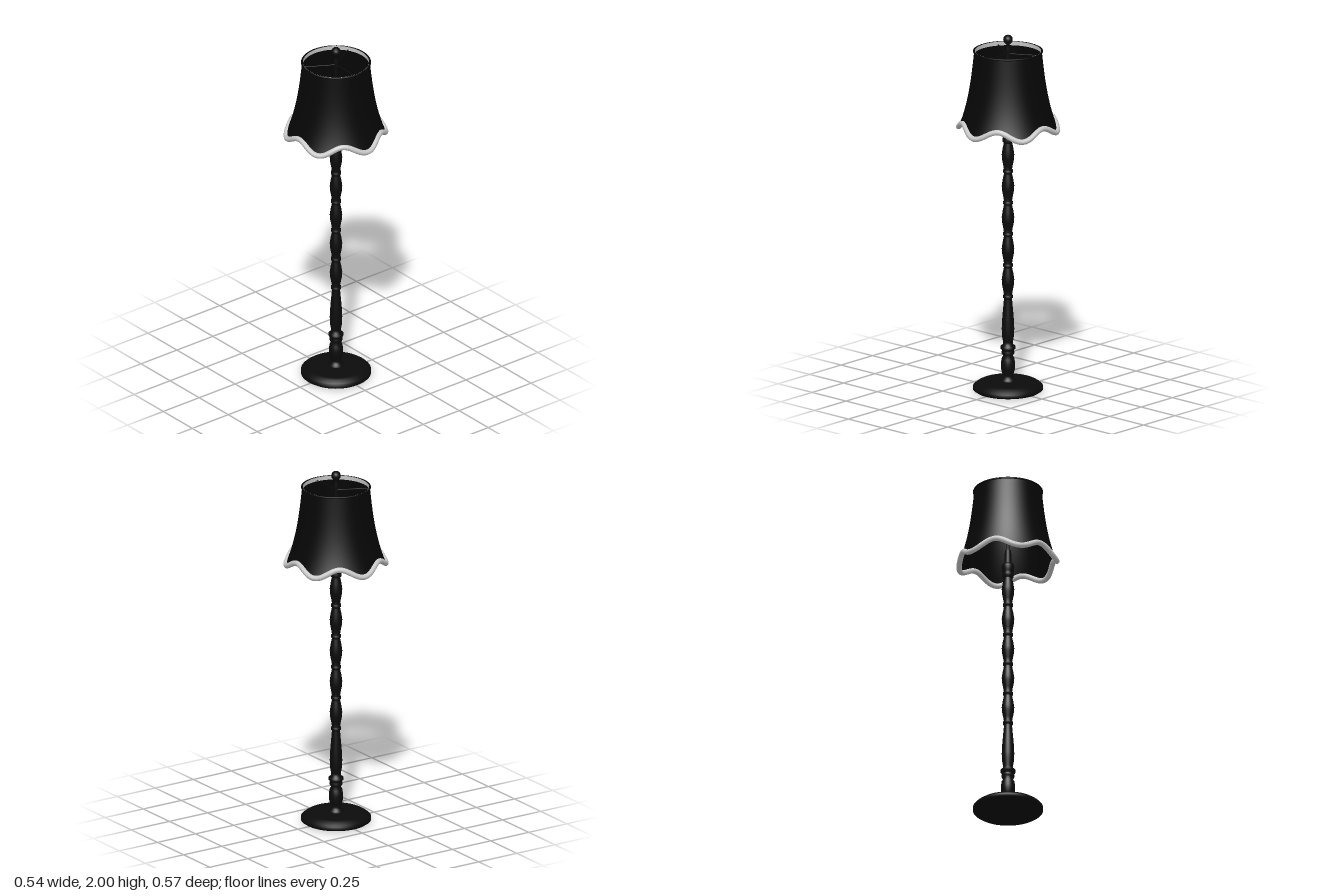
import * as THREE from 'three';

const lampBlack = new THREE.MeshStandardMaterial({ color: 0x0b0b0b });
lampBlack.name = 'lampBlack';
const shadeBlack = new THREE.MeshStandardMaterial({ color: 0x060606, side: THREE.DoubleSide });
shadeBlack.name = 'shadeBlack';
const trimGrey = new THREE.MeshStandardMaterial({ color: 0xc8c8c8, side: THREE.DoubleSide });
trimGrey.name = 'trimGrey';

const TOP = 1.91;
// hem height: six scallops, the lowest point facing front
const hemY = (a) => 1.496 - 0.025 * Math.cos(6 * a);
// shade radius: nearly straight at the top, flaring to the hem
function shadeRadius(y) {
  const t = (TOP - y) / 0.44;
  return 0.183 + 0.045 * t + 0.043 * t * t * t;
}

function add(group, name, geometry, material, y = 0) {
  const mesh = new THREE.Mesh(geometry, material);
  mesh.name = name;
  mesh.position.y = y;
  group.add(mesh);
  return mesh;
}

function lathe(points, segments = 40) {
  return new THREE.LatheGeometry(points.map(([r, y]) => new THREE.Vector2(r, y)), segments);
}

// shade wall: a cylinder whose rows are pulled between the hem and the top
function shadeGeometry() {
  const g = new THREE.CylinderGeometry(1, 1, 1, 96, 14, true);
  const p = g.attributes.position;
  for (let i = 0; i < p.count; i++) {
    const a = Math.atan2(p.getX(i), p.getZ(i));
    const y = THREE.MathUtils.lerp(hemY(a), TOP, p.getY(i) + 0.5);
    const r = shadeRadius(y);
    p.setXYZ(i, r * Math.sin(a), y, r * Math.cos(a));
  }
  g.computeVertexNormals();
  return g;
}

function hemCurve() {
  const pts = [];
  for (let i = 0; i < 72; i++) {
    const a = (i / 72) * Math.PI * 2;
    const r = shadeRadius(hemY(a));
    pts.push(new THREE.Vector3(r * Math.sin(a), hemY(a), r * Math.cos(a)));
  }
  return new THREE.CatmullRomCurve3(pts, true);
}

// turned post: foot, ball, collar, tall vase, five repeated spindles, cap
function postProfile() {
  const pts = [
    [0.042, 0.05], [0.042, 0.064], [0.03, 0.072], [0.024, 0.085], [0.032, 0.1],
    [0.038, 0.125], [0.039, 0.15], [0.035, 0.18], [0.025, 0.2], [0.034, 0.207],
    [0.034, 0.222], [0.03, 0.228], [0.04, 0.236], [0.04, 0.25], [0.028, 0.26],
    [0.027, 0.275], [0.033, 0.31], [0.034, 0.35], [0.031, 0.41], [0.025, 0.48], [0.022, 0.515],
  ];
  for (let i = 0; i < 5; i++) {
    const y = 0.53 + i * 0.176;
    pts.push([0.022, y - 0.01], [0.028, y - 0.006], [0.028, y + 0.006], [0.022, y + 0.01],
      [0.026, y + 0.035], [0.033, y + 0.07], [0.034, y + 0.095], [0.029, y + 0.13], [0.023, y + 0.158]);
  }
  pts.push([0.023, 1.395], [0.031, 1.402], [0.031, 1.42], [0.026, 1.426],
    [0.033, 1.436], [0.034, 1.465], [0.028, 1.48], [0, 1.482]);
  return pts;
}

export function createModel() {
  const lamp = new THREE.Group();
  lamp.name = 'floorLamp';

  // round weighted base with a bevelled rim
  add(lamp, 'base', lathe([
    [0, 0], [0.175, 0], [0.178, 0.008], [0.19, 0.01], [0.19, 0.026],
    [0.182, 0.034], [0.165, 0.046], [0.15, 0.053], [0.04, 0.056], [0, 0.056],
  ], 64), lampBlack);
  add(lamp, 'post', lathe(postProfile()), lampBlack);

  // socket, inner rod and finial
  add(lamp, 'socket', new THREE.CylinderGeometry(0.017, 0.02, 0.08, 24), lampBlack, 1.52);
  add(lamp, 'rod', new THREE.CylinderGeometry(0.008, 0.008, 0.43, 16), lampBlack, 1.745);
  add(lamp, 'finial', lathe([
    [0.008, 1.9], [0.012, 1.91], [0.009, 1.925], [0.009, 1.945], [0.014, 1.952],
    [0.023, 1.962], [0.026, 1.975], [0.023, 1.988], [0.013, 1.998], [0, 2],
  ], 28), lampBlack);

  // three thin arms carrying the shade
  for (let i = 0; i < 3; i++) {
    const arm = add(lamp, 'shadeArm', new THREE.CylinderGeometry(0.003, 0.003, 0.18, 8), lampBlack, 1.895);
    const a = (i / 3) * Math.PI * 2;
    arm.position.x = 0.09 * Math.sin(a);
    arm.position.z = 0.09 * Math.cos(a);
    arm.rotation.set(Math.PI / 2, 0, -a);
  }

  // shade with scalloped hem
  add(lamp, 'shade', shadeGeometry(), shadeBlack);
  add(lamp, 'hemTrim', new THREE.TubeGeometry(hemCurve(), 144, 0.015, 10, true), trimGrey);

  // top rim: dark outer edge with a pale inner band
  const rim = add(lamp, 'topRim', new THREE.TorusGeometry(0.185, 0.005, 8, 72), shadeBlack, TOP);
  rim.rotation.x = Math.PI / 2;
  add(lamp, 'topInnerBand', new THREE.CylinderGeometry(0.1795, 0.1805, 0.022, 72, 1, true), trimGrey, TOP - 0.008);

  return lamp;
}
